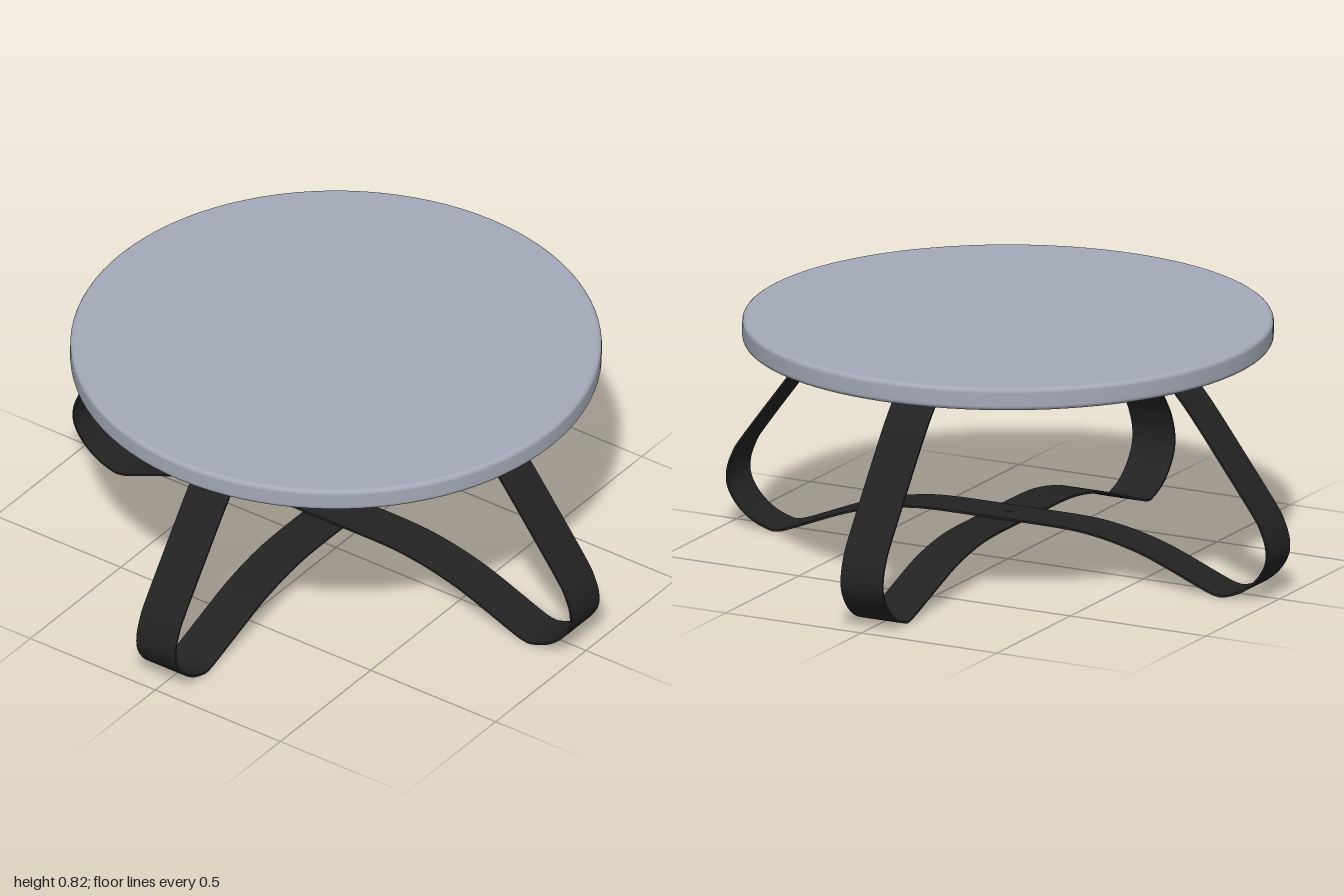
import * as THREE from 'three';
import { toCreasedNormals } from 'three/addons/utils/BufferGeometryUtils.js';

const STRAP_WIDTH = 0.155;
const STRAP_THICKNESS = 0.007;

// Closed bent strap: mounting tab, sloping leg, rounded foot, arched stretcher, mirrored
function strapGeometry(archY) {
  const half = [
    [0.29, 0.738], [0.43, 0.738], [0.555, 0.738], [0.585, 0.729],
    [0.645, 0.678], [0.715, 0.598], [0.82, 0.46], [0.945, 0.292], [0.975, 0.24],
    [0.993, 0.185], [0.99, 0.13], [0.955, 0.073], [0.9, 0.029], [0.84, 0.006], [0.81, 0.005],
    [0.765, 0.018], [0.6, archY - 0.073], [0.5, archY - 0.04], [0.38, archY - 0.014],
    [0.25, archY - 0.001],
  ].map(([x, y]) => new THREE.Vector2(x, y));
  const mirrored = half.map(p => new THREE.Vector2(-p.x, p.y)).reverse();
  const path = new THREE.SplineCurve([...half, new THREE.Vector2(0, archY), ...mirrored]);

  const outer = [], inner = [];
  const steps = 200;
  for (let i = 0; i <= steps; i++) {
    const p = path.getPoint(i / steps), t = path.getTangent(i / steps);
    const n = new THREE.Vector2(-t.y, t.x).multiplyScalar(STRAP_THICKNESS / 2);
    outer.push(p.clone().add(n));
    inner.push(p.clone().sub(n));
  }
  const shape = new THREE.Shape([...outer, ...inner.reverse()]);
  const geometry = new THREE.ExtrudeGeometry(shape, { depth: STRAP_WIDTH, bevelEnabled: false });
  geometry.translate(0, 0, -STRAP_WIDTH / 2);
  return toCreasedNormals(geometry, 0.6);
}

// Round disc with a softened rim
function topGeometry() {
  const radius = 0.862, bottom = 0.742, top = 0.818, r = 0.016;
  const profile = [new THREE.Vector2(0, bottom)];
  const corner = (cy, start) => {
    for (let i = 0; i <= 5; i++) {
      const a = start + (i / 5) * Math.PI / 2;
      profile.push(new THREE.Vector2(radius - r + r * Math.cos(a), cy + r * Math.sin(a)));
    }
  };
  corner(bottom + r, -Math.PI / 2);
  corner(top - r, 0);
  profile.push(new THREE.Vector2(0, top));
  return new THREE.LatheGeometry(profile, 96);
}

export function createModel() {
  const model = new THREE.Group();
  model.name = 'roundTable';

  const topMaterial = new THREE.MeshStandardMaterial({ name: 'blue grey top', color: 0xa3a9b7 });
  const metalMaterial = new THREE.MeshStandardMaterial({ name: 'black metal', color: 0x222222 });

  const add = (parent, name, geometry, material) => {
    const mesh = new THREE.Mesh(geometry, material);
    mesh.name = name;
    parent.add(mesh);
    return mesh;
  };

  add(model, 'tableTop', topGeometry(), topMaterial);

  // Two crossing straps, one passing just below the other
  const screwHead = new THREE.SphereGeometry(0.012, 12, 8);
  [['sideLegs', 0.157, 0], ['frontBackLegs', 0.149, Math.PI / 2]].forEach(([name, archY, turn]) => {
    const legs = new THREE.Group();
    legs.name = name;
    legs.rotation.y = turn;
    add(legs, 'strap', strapGeometry(archY), metalMaterial);
    // Screws under the mounting tabs
    for (const x of [-0.46, -0.38, 0.38, 0.46]) {
      const screw = add(legs, 'tabScrew', screwHead, metalMaterial);
      screw.position.set(x, 0.734, 0);
      screw.scale.y = 0.7;
    }
    model.add(legs);
  });

  // Bolt joining the straps at the crossing
  const bolt = add(model, 'crossingBolt', new THREE.CylinderGeometry(0.01, 0.01, 0.018, 12), metalMaterial);
  bolt.position.y = 0.153;

  return model;
}
